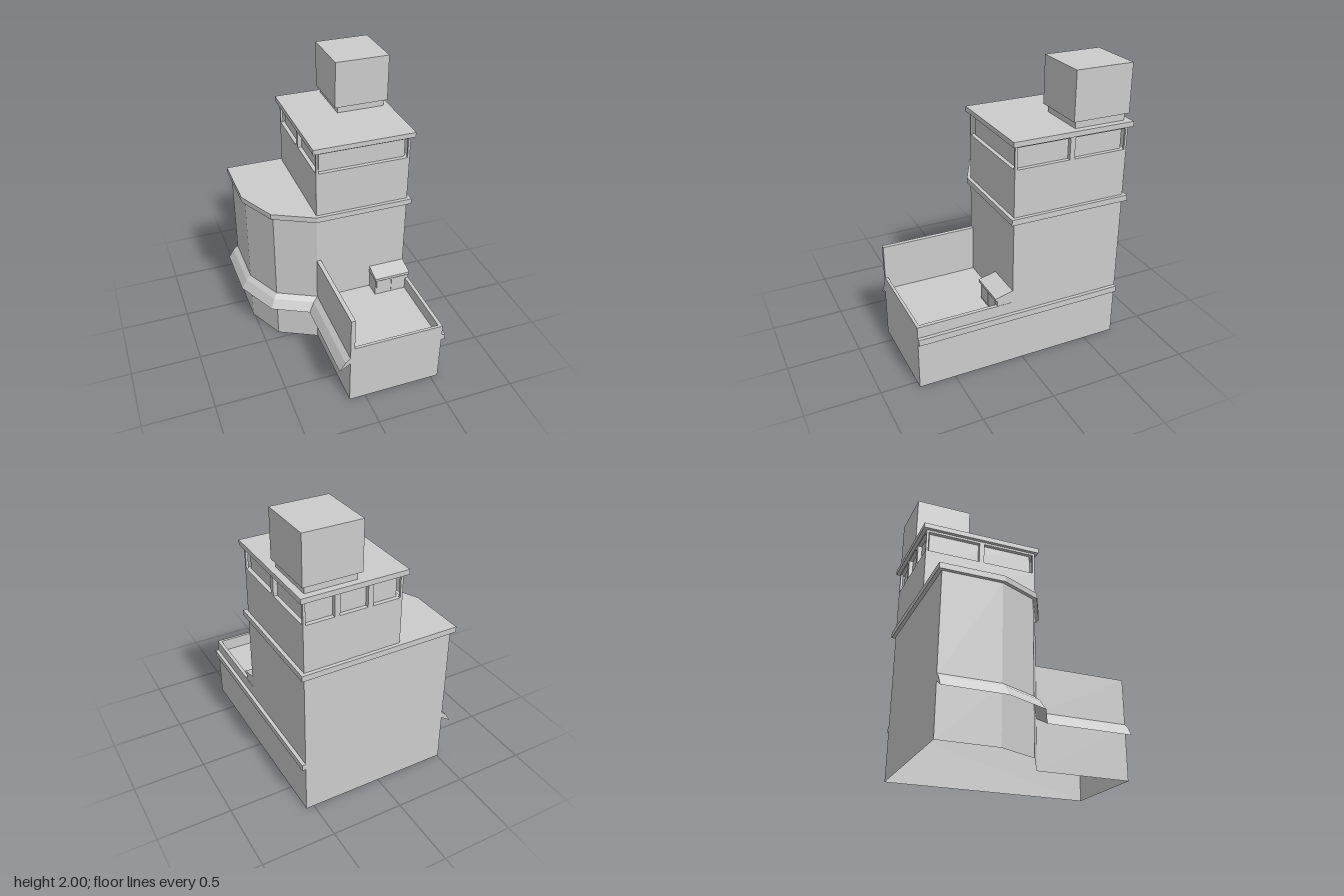
import * as THREE from 'three';

const mat = new THREE.MeshStandardMaterial({ color: 0xcccccc, flatShading: true, side: THREE.DoubleSide });

// Tower extents, shared by several parts
const X0 = -0.115, X1 = 0.555, Z0 = -0.72, Z1 = 0.085, ZF = 0.755;
const DECK = 0.38;

// Angled side of the building in plan, [x, z], from back to front
const bay = [[-0.51, Z0], [-0.51, -0.318], [-0.383, -0.053], [X0, Z1]];

function add(group, name, geometry) {
  const mesh = new THREE.Mesh(geometry, mat);
  mesh.name = name;
  group.add(mesh);
  return mesh;
}

// Box given by its limits
function box(group, name, x0, x1, y0, y1, z0, z1) {
  const g = new THREE.BoxGeometry(x1 - x0, y1 - y0, z1 - z0);
  g.translate((x0 + x1) / 2, (y0 + y1) / 2, (z0 + z1) / 2);
  return add(group, name, g);
}

function fromTriangles(points) {
  const g = new THREE.BufferGeometry().setFromPoints(points);
  g.computeVertexNormals();
  return g;
}

// Open-ended vertical walls around a plan loop
function walls(loop, y0, y1) {
  const out = [];
  loop.forEach(([px, pz], i) => {
    const [qx, qz] = loop[(i + 1) % loop.length];
    const a = new THREE.Vector3(px, y0, pz), b = new THREE.Vector3(qx, y0, qz);
    const c = new THREE.Vector3(qx, y1, qz), d = new THREE.Vector3(px, y1, pz);
    out.push(a, b, c, a, c, d);
  });
  return fromTriangles(out);
}

// Mitred outward offset of a plan path
function offset(path, dist, closed) {
  const n = path.length;
  const normal = (i) => {
    const p = path[(i + n) % n], q = path[(i + 1 + n) % n];
    return new THREE.Vector2(p[1] - q[1], q[0] - p[0]).normalize();
  };
  return path.map(([x, z], i) => {
    const a = normal(!closed && i === 0 ? 0 : i - 1);
    const b = normal(!closed && i === n - 1 ? n - 2 : i);
    const k = dist / (1 + a.dot(b));
    return [x + k * (a.x + b.x), z + k * (a.y + b.y)];
  });
}

// Flat slab over a plan loop
function slab(loop, y0, y1) {
  const shape = new THREE.Shape(loop.map(([x, z]) => new THREE.Vector2(x, -z)));
  const g = new THREE.ExtrudeGeometry(shape, { depth: y1 - y0, bevelEnabled: false });
  g.rotateX(-Math.PI / 2);
  g.translate(0, y0, 0);
  return g;
}

// Cross-section of [distance, height] points swept along a plan path
function sweep(path, profile) {
  const lines = profile.map(([d, y]) => offset(path, d, false).map(([x, z]) => new THREE.Vector3(x, y, z)));
  const m = profile.length, last = path.length - 1, out = [];
  for (let i = 0; i < last; i++) {
    for (let k = 0; k < m; k++) {
      const p = lines[k], q = lines[(k + 1) % m];
      out.push(p[i], q[i], q[i + 1], p[i], q[i + 1], p[i + 1]);
    }
  }
  for (let k = 1; k < m - 1; k++) {
    out.push(lines[0][last], lines[k][last], lines[k + 1][last]);
    out.push(lines[0][0], lines[k + 1][0], lines[k][0]);
  }
  return fromTriangles(out);
}

export function createModel() {
  const model = new THREE.Group();
  model.name = 'building';

  // Hollow lower walls and main block
  const mainLoop = [...bay, [X1, Z1], [X1, Z0]];
  add(model, 'lowerWalls', walls([...bay, [X0, ZF], [X1, ZF], [X1, Z0]], 0, DECK));
  add(model, 'mainWalls', walls(mainLoop, DECK, 1.06));
  add(model, 'mainRoof', slab(offset(mainLoop, 0.025, true), 1.06, 1.10));

  // Front terrace
  const terrace = new THREE.Group();
  terrace.name = 'terrace';
  model.add(terrace);
  const deck = new THREE.PlaneGeometry(X1 - X0, ZF - Z1);
  deck.rotateX(-Math.PI / 2);
  deck.translate((X0 + X1) / 2, DECK, (Z1 + ZF) / 2);
  add(terrace, 'deck', deck);
  box(terrace, 'sideScreen', X0, X0 + 0.03, DECK, 0.715, Z1, ZF);
  box(terrace, 'frontRim', X0 + 0.03, X1, DECK, 0.47, ZF - 0.02, ZF);
  box(terrace, 'sideRim', X1 - 0.025, X1, DECK, 0.47, Z1, ZF - 0.02);

  // Cabinet with a sloping lid
  box(terrace, 'cabinet', 0.295, X1 - 0.002, DECK, 0.51, Z1, 0.195);
  box(terrace, 'cabinetDoorRight', 0.305, 0.41, 0.395, 0.5, 0.195, 0.2);
  box(terrace, 'cabinetDoorLeft', 0.42, 0.525, 0.395, 0.5, 0.195, 0.2);
  const lidShape = new THREE.Shape([[Z1, 0.51], [0.21, 0.51], [0.21, 0.53], [Z1, 0.56]]
    .map(([z, y]) => new THREE.Vector2(-z, y)));
  const lid = new THREE.ExtrudeGeometry(lidShape, { depth: X1 - 0.29, bevelEnabled: false });
  lid.rotateY(Math.PI / 2);
  lid.translate(0.29, 0, 0);
  add(terrace, 'cabinetLid', lid);

  // Awning around the angled side, plain ledge along the straight one
  add(model, 'awning', sweep([...bay, [X0, ZF]], [[0, 0.39], [0.035, 0.36], [0.075, 0.295], [0, 0.345]]));
  box(model, 'sideLedge', X1, X1 + 0.025, 0.345, 0.39, Z0, ZF);

  // Upper storey with a band of recessed windows
  const upper = new THREE.Group();
  upper.name = 'upperStorey';
  model.add(upper);
  const Y0 = 1.425, Y1 = 1.57, post = 0.016, inset = 0.028;
  box(upper, 'upperWalls', X0, X1, 1.10, Y0, Z0, Z1);
  box(upper, 'windowPanes', X0 + inset, X1 - inset, Y0, Y1, Z0 + inset, Z1 - inset);
  box(upper, 'windowHeader', X0, X1, Y1, 1.585, Z0, Z1);
  for (const x of [X0, X1 - post]) {
    for (const z of [Z0, Z1 - post]) box(upper, 'cornerPost', x, x + post, Y0, Y1, z, z + post);
  }
  for (const x of [X0, X1 - inset]) box(upper, 'sideMullion', x, x + inset, Y0, Y1, -0.335, -0.30);
  for (const t of [1 / 3, 2 / 3]) {
    const x = X0 + t * (X1 - X0);
    box(upper, 'backMullion', x - 0.0175, x + 0.0175, Y0, Y1, Z0, Z0 + inset);
  }
  box(upper, 'upperRoof', X0 - 0.025, X1 + 0.025, 1.585, 1.62, Z0 - 0.025, Z1 + 0.022);

  // Rooftop cube on a narrower neck
  box(model, 'rooftopNeck', 0.19, 0.535, 1.62, 1.67, -0.70, -0.34);
  box(model, 'rooftopCube', 0.165, X1, 1.67, 2.0, Z0, -0.318);

  // Centre the plan in depth
  model.children.forEach((part) => { part.position.z = -0.005; });
  return model;
}
